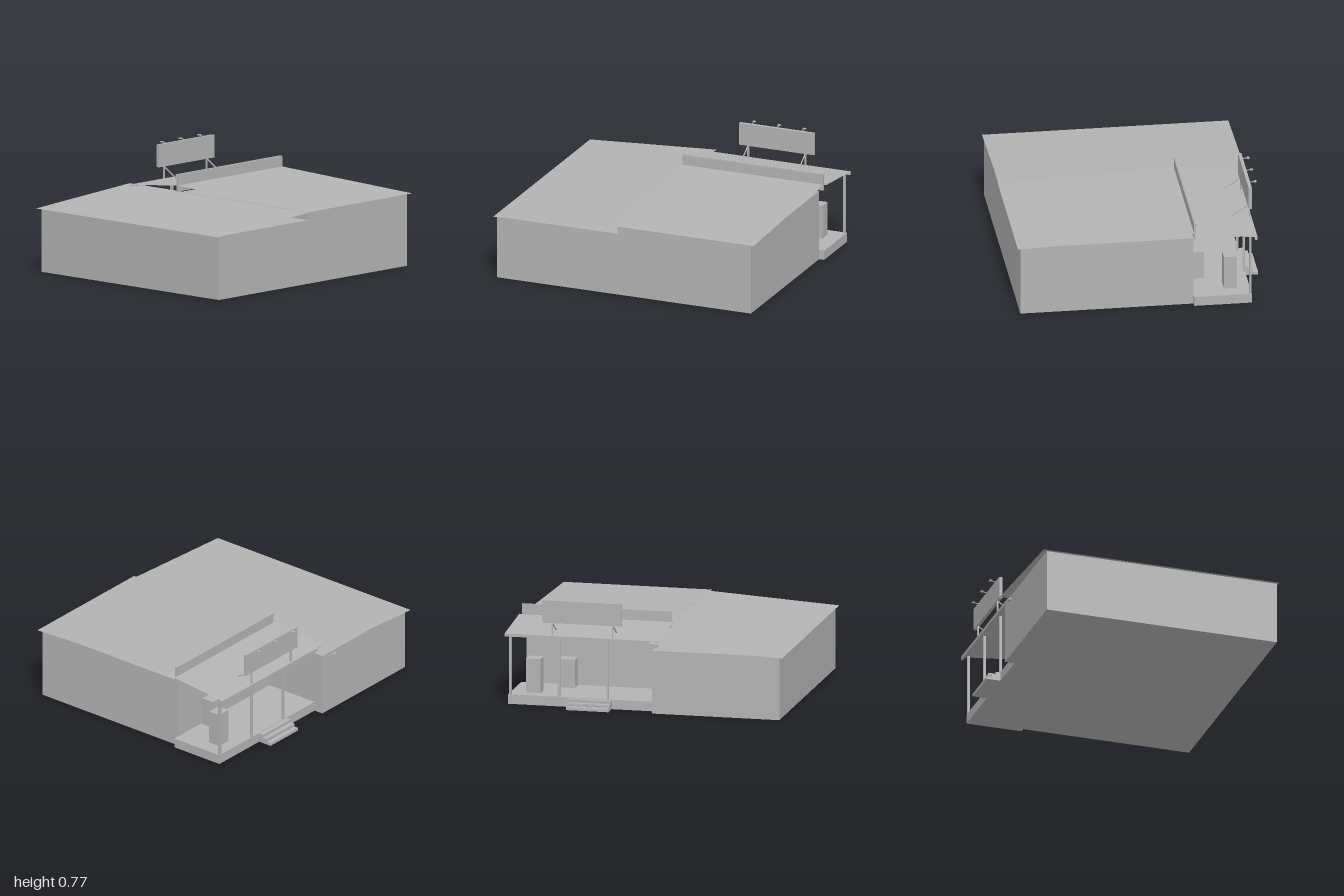
import * as THREE from 'three';

export function createModel() {
  const model = new THREE.Group();
  const grey = new THREE.MeshStandardMaterial({ color: 0xb3b3b3 });
  grey.name = 'plain grey';
  const sheet = new THREE.MeshStandardMaterial({ color: 0xb3b3b3, side: THREE.DoubleSide });
  sheet.name = 'roof sheet grey';

  function add(name, geometry, material = grey) {
    const mesh = new THREE.Mesh(geometry, material);
    mesh.name = name;
    model.add(mesh);
    return mesh;
  }
  // Box given by its limits on each axis
  function box(name, x0, x1, y0, y1, z0, z1) {
    const mesh = add(name, new THREE.BoxGeometry(x1 - x0, y1 - y0, z1 - z0));
    mesh.position.set((x0 + x1) / 2, (y0 + y1) / 2, (z0 + z1) / 2);
    return mesh;
  }
  // Thin sloping roof sheet whose height is a function of x and z
  function roof(name, x0, x1, z0, z1, height) {
    const geometry = new THREE.PlaneGeometry(x1 - x0, z1 - z0).rotateX(-Math.PI / 2);
    geometry.translate((x0 + x1) / 2, 0, (z0 + z1) / 2);
    const p = geometry.attributes.position;
    for (let i = 0; i < p.count; i++) p.setY(i, height(p.getX(i), p.getZ(i)));
    geometry.computeVertexNormals();
    return add(name, geometry, sheet);
  }
  // Square bar between two points
  function bar(name, a, b, size) {
    const from = new THREE.Vector3(...a), to = new THREE.Vector3(...b);
    const mesh = add(name, new THREE.BoxGeometry(size, size, from.distanceTo(to)));
    mesh.position.copy(from).add(to).multiplyScalar(0.5);
    mesh.lookAt(to);
    return mesh;
  }

  // Two building halves
  box('sideHall', -0.975, -0.065, 0, 0.449, -0.84, 0.85);
  box('mainHall', -0.065, 0.945, 0, 0.505, -0.367, 0.85);

  // Shallow sloping roofs
  roof('sideHallRoof', -1, -0.043, -0.87, 0.86, x => 0.447 + (x + 1) * 0.0606);
  roof('mainHallRoof', -0.09, 0.974, -0.37, 0.87, (x, z) => 0.51 + (0.87 - z) * 0.0355);
  roof('porchRoof', -0.107, 0.997, -0.81, -0.372, (x, z) => 0.51 + (z + 0.81) * 0.1);

  // Parapet with a small cap on its rear edge
  box('parapet', -0.09, 0.975, 0.51, 0.625, -0.38, -0.367);
  box('parapetCap', -0.09, 0.975, 0.615, 0.63, -0.388, -0.372);

  // Porch floor, steps, beam and posts
  box('porchFloor', -0.065, 0.983, 0, 0.068, -0.771, -0.367);
  [0.064, 0.042, 0.02].forEach((top, i) =>
    box('step' + (i + 1), 0.24, 0.545, 0, top, -0.805 - i * 0.034, -0.771));
  box('porchBeam', -0.107, 0.997, 0.488, 0.508, -0.808, -0.792);
  for (let i = 0; i < 4; i++) {
    const x = -0.078 + i * 0.3485;
    box('porchPost', x - 0.008, x + 0.008, 0.068, 0.51, -0.77, -0.754);
  }

  // Cabinets standing on the porch
  box('tallCabinet', 0.77, 0.875, 0.068, 0.31, -0.68, -0.59);
  box('lowCabinet', 0.575, 0.69, 0.068, 0.27, -0.475, -0.378);

  // Blank sign board with struts
  box('signBoard', 0.163, 0.728, 0.6, 0.76, -0.806, -0.783);
  for (const x of [0.227, 0.66]) {
    bar('signStrut', [x, 0.49, -0.796], [x, 0.605, -0.796], 0.011);
    bar('signBrace', [x, 0.597, -0.79], [x, 0.522, -0.672], 0.007);
  }

  // Lamps above the sign
  for (const x of [0.253, 0.443, 0.633]) {
    bar('lampArm', [x, 0.758, -0.8], [x, 0.765, -0.835], 0.005);
    box('lampHead', x - 0.011, x + 0.011, 0.761, 0.768, -0.85, -0.832);
  }

  // Wall lamp at the rear of the side hall
  box('wallLamp', -0.205, -0.17, 0.415, 0.428, -0.857, -0.84);

  return model;
}
